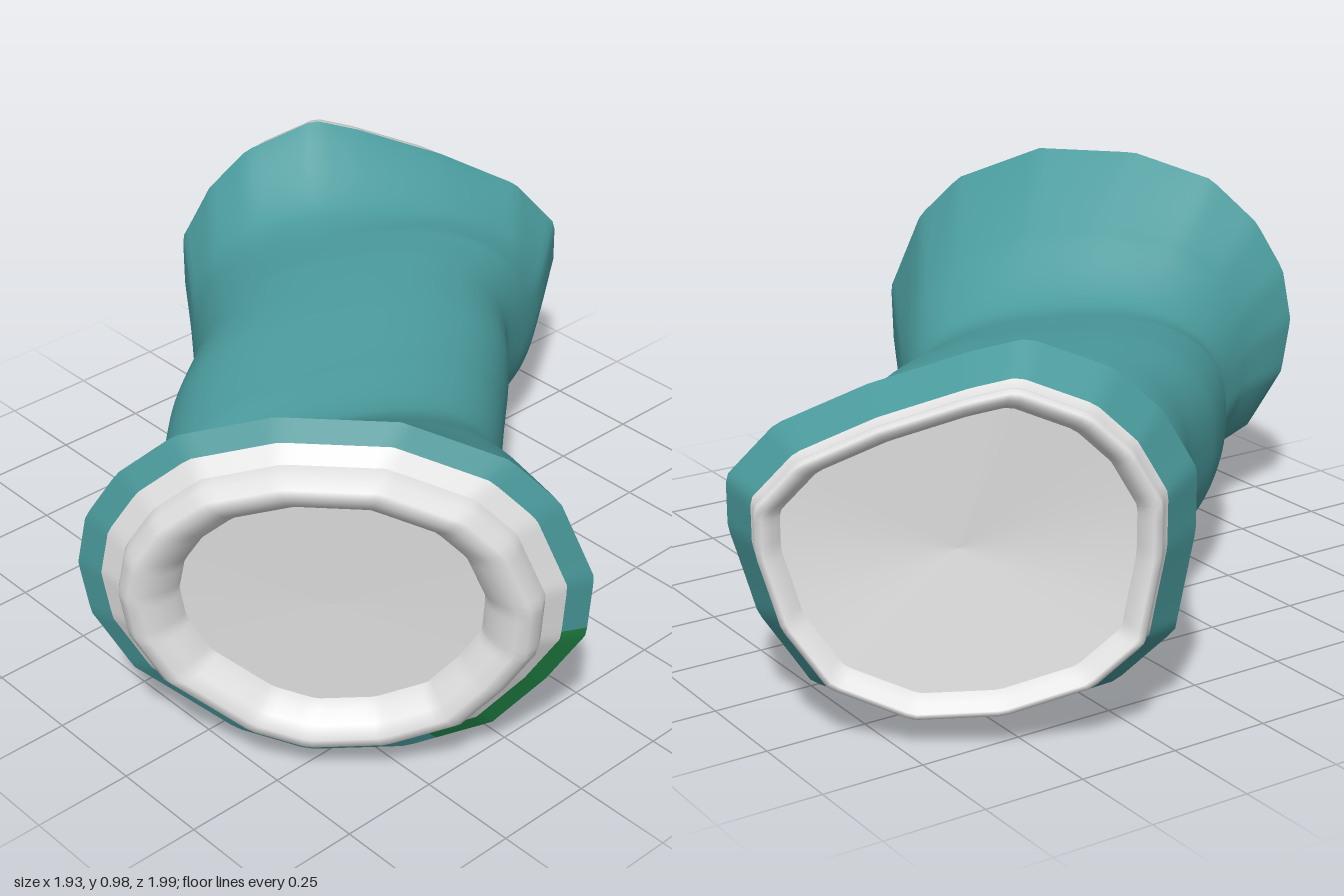
import * as THREE from 'three';

const SIDES = 120;
const STEPS = 110;
const ANGLE0 = -1.5 * Math.PI;
const v3 = (x, y, z) => new THREE.Vector3(x, y, z);

const teal = new THREE.MeshStandardMaterial({ color: 0x4a9a9c });
teal.name = 'teal';
const green = new THREE.MeshStandardMaterial({ color: 0x1f8245 });
green.name = 'green';
const grey = new THREE.MeshStandardMaterial({ color: 0xe3e2e2 });
grey.name = 'light grey';

// Cross-sections from back to front:
// side edge A (x, z), side edge B (x, z), top, bottom, top lean (x, z), bow of top and bottom (x, z)
const SECTIONS = [
  [-0.865, -0.10, -0.26, -0.955, 0.91, 0.01, 0, 0, -0.04, -0.03],
  [-0.69, 0.02, -0.15, -0.78, 0.755, 0.05, 0, 0, 0, 0],
  [-0.46, 0.20, -0.06, -0.57, 0.74, 0.09, 0, 0, 0, 0],
  [-0.30, 0.41, 0.06, -0.45, 0.72, 0.09, 0, 0, 0, 0],
  [-0.10, 0.60, 0.20, -0.29, 0.685, 0.08, 0, 0, 0, 0],
  [0.04, 0.69, 0.38, -0.10, 0.67, 0.08, 0, 0, 0, 0],
  [0.09, 0.82, 0.65, 0.04, 0.81, 0.08, 0.01, 0.02, 0, 0],
  [0.11, 0.99, 0.957, 0.20, 0.985, 0.005, 0.025, 0.035, 0.01, 0.01],
].map(([ax, az, bx, bz, top, bottom, leanX, leanZ, bowX, bowZ]) => ({
  c: v3((ax + bx) / 2, (top + bottom) / 2, (az + bz) / 2),
  u: v3((bx - ax) / 2, 0, (bz - az) / 2),
  v: v3(leanX, (top - bottom) / 2, leanZ),
  w: v3(bowX, 0, bowZ),
}));

// Crumpled outlines of the two hems, in units of the section's half width and height
const BACK_OUTLINE = [
  [1, 0.25], [0.78, 0.53], [0.38, 0.75], [-0.06, 0.93], [-0.29, 1], [-0.65, 0.84], [-0.85, 0.62], [-1, 0.31],
  [-1, -0.02], [-0.92, -0.54], [-0.67, -0.8], [-0.23, -0.97], [0.23, -1], [0.65, -0.82], [0.88, -0.47], [1, -0.02],
];
const FRONT_OUTLINE = [
  [1, 0.15], [0.86, 0.58], [0.67, 0.81], [0.27, 1], [-0.2, 1], [-0.58, 0.87], [-0.81, 0.64], [-0.95, 0.38],
  [-1, 0.1], [-0.97, -0.2], [-0.82, -0.53], [-0.42, -0.89], [-0.13, -1], [0.27, -0.95], [0.62, -0.77],
  [0.83, -0.48], [0.98, -0.2],
];

// Distance from the centre to an outline in a given direction
function outlineRadius(points, x, y) {
  for (let i = 0; i < points.length; i++) {
    const [ax, ay] = points[i], [bx, by] = points[(i + 1) % points.length];
    const ex = bx - ax, ey = by - ay;
    const det = x * ey - y * ex;
    const s = (ax * y - ay * x) / det;
    const r = (ax * ey - ay * ex) / det;
    if (s >= -1e-6 && s <= 1 + 1e-6 && r > 0) return r;
  }
  return 1;
}

// Boxy oval in the middle, blending into the crumpled hems
function radiusAt(t, x, y) {
  const oval = (Math.abs(x) ** 2.5 + Math.abs(y) ** 2.5) ** (-1 / 2.5);
  const back = Math.max(0, 1 - t / 0.2), front = Math.max(0, (t - 0.78) / 0.22);
  return oval * (1 - back - front)
    + back * outlineRadius(BACK_OUTLINE, x, y) + front * outlineRadius(FRONT_OUTLINE, x, y);
}

const curve = (key) => new THREE.CatmullRomCurve3(SECTIONS.map((s) => s[key]), false, 'catmullrom', 0.4);
const curves = { c: curve('c'), u: curve('u'), v: curve('v'), w: curve('w') };

// Ring of points at position t along the sleeve
function ring(t, scale = 1, shift = v3(0, 0, 0)) {
  const c = curves.c.getPoint(t).add(shift), u = curves.u.getPoint(t);
  const v = curves.v.getPoint(t), w = curves.w.getPoint(t);
  return Array.from({ length: SIDES }, (_, j) => {
    const a = ANGLE0 + (j / SIDES) * 2 * Math.PI;
    const x = Math.cos(a), y = Math.sin(a);
    const r = scale * radiusAt(t, x, y);
    return c.clone().addScaledVector(u, r * x).addScaledVector(v, r * y).addScaledVector(w, (r * y) ** 2);
  });
}

// Piecewise linear lookup in [position, value] pairs
function lookup(table, t) {
  for (let i = 1; i < table.length; i++) {
    const [t0, a] = table[i - 1], [t1, b] = table[i];
    if (t <= t1) return a + ((b - a) * (t - t0)) / (t1 - t0);
  }
  return table[table.length - 1][1];
}

// Diagonal green patch winding under the sleeve, in degrees round it
const PATCH_HIGH = [[0.18, -152], [0.32, -128], [0.42, -98], [0.58, -66], [0.8, -37], [0.93, -12], [1, -8]];
const PATCH_LOW = [[0.18, -153], [0.6, -127], [0.75, -113], [0.85, -95], [1, -67]];
function inPatch(t, degrees) {
  return t > 0.18 && degrees < lookup(PATCH_HIGH, t) && degrees > lookup(PATCH_LOW, t);
}

// Skin a list of rings; painted(i) gives the position along the sleeve for the patch
function skin(name, rings, material, { flip = false, painted = null } = {}) {
  const plain = [], patch = [];
  for (let i = 0; i < rings.length - 1; i++) {
    for (let j = 0; j < SIDES; j++) {
      const k = (j + 1) % SIDES;
      const a = i * SIDES + j, b = i * SIDES + k;
      const c = b + SIDES, d = a + SIDES;
      const degrees = THREE.MathUtils.radToDeg(ANGLE0) + ((j + 0.5) / SIDES) * 360;
      const list = painted && inPatch(painted(i), degrees) ? patch : plain;
      if (flip) list.push(a, c, b, a, d, c);
      else list.push(a, b, c, a, c, d);
    }
  }
  const geometry = new THREE.BufferGeometry().setFromPoints(rings.flat());
  geometry.setIndex([...plain, ...patch]);
  geometry.addGroup(0, plain.length, 0);
  geometry.addGroup(plain.length, patch.length, 1);
  geometry.computeVertexNormals();
  const mesh = new THREE.Mesh(geometry, painted ? [material, green] : material);
  mesh.name = name;
  return mesh;
}

// One open end: teal band, grey collar, rounded lip and recessed cap, as [scale, offset]
function createEnd(name, t, normal, profile) {
  const group = new THREE.Group();
  group.name = name;
  const build = (part, steps, material, painted) => group.add(skin(part,
    steps.map(([s, o]) => ring(t, s, normal.clone().multiplyScalar(o))), material, { flip: t === 0, painted }));
  build('hemBand', profile.band, teal, t === 0 ? null : () => t);
  build('collar', profile.collar, grey);
  build('lip', profile.lip, grey);
  build('endCap', profile.cap, grey);
  return group;
}

export function createModel() {
  const model = new THREE.Group();
  model.name = 'crumpledSleeve';

  // Pinched main tube
  const rings = Array.from({ length: STEPS + 1 }, (_, i) => ring(i / STEPS));
  model.add(skin('sleeve', rings, teal, { painted: (i) => (i + 0.5) / STEPS }));

  // Front end with a thick lip
  model.add(createEnd('frontEnd', 1, v3(0.66, 0, 0.75), {
    band: [[1, 0], [0.9, 0.03]],
    collar: [[0.9, 0.03], [0.82, 0.06]],
    lip: [[0.82, 0.06], [0.81, 0.1], [0.77, 0.125], [0.72, 0.13], [0.66, 0.11], [0.61, 0.08], [0.59, 0.05]],
    cap: [[0.59, 0.05], [0, 0.05]],
  }));

  // Back end with a longer band and a thin lip
  model.add(createEnd('backEnd', 0, v3(-0.82, 0, -0.57), {
    band: [[1, 0], [0.87, 0.11]],
    collar: [[0.87, 0.11], [0.84, 0.135], [0.85, 0.155]],
    lip: [[0.85, 0.155], [0.84, 0.18], [0.81, 0.185], [0.77, 0.17], [0.74, 0.145]],
    cap: [[0.74, 0.145], [0, 0.145]],
  }));

  return model;
}
